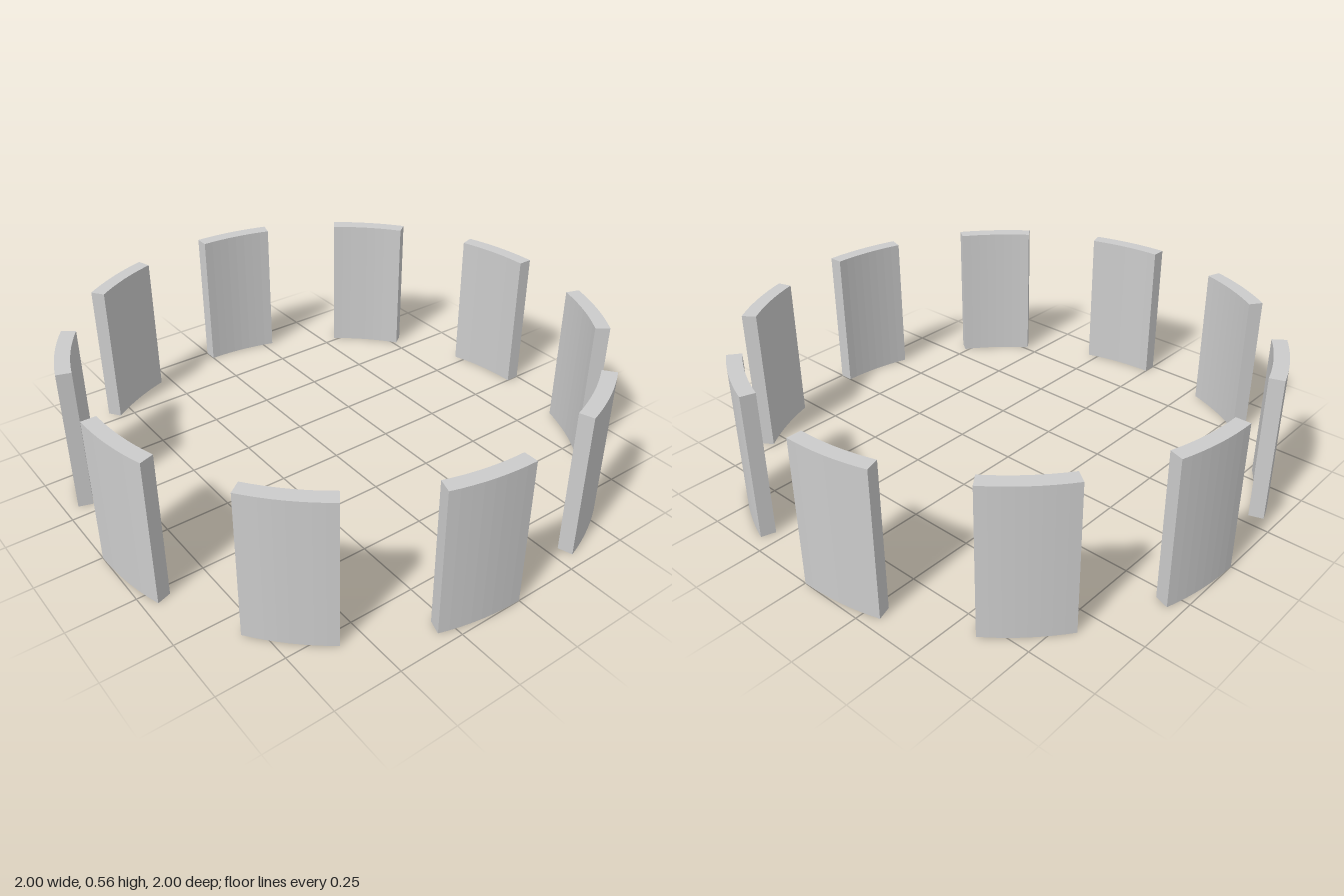
import * as THREE from 'three';

const COUNT = 10;          // panels around the ring
const ARC = Math.PI / COUNT; // each panel fills half of its share
const STEPS = 8;           // facets along one panel
const OUTER = 1, INNER = 0.945, HEIGHT = 0.565;

// Curved hollow panel, open underneath: a U-shaped section swept along an arc
function panelGeometry() {
  const section = [[OUTER, 0], [OUTER, HEIGHT], [INNER, HEIGHT], [INNER, 0]];
  const positions = [], index = [];
  for (let s = 0; s <= STEPS; s++) {
    const a = (s / STEPS) * ARC;
    for (const [r, y] of section) positions.push(r * Math.cos(a), y, -r * Math.sin(a));
  }
  // outer wall, top and inner wall
  for (let s = 0; s < STEPS; s++) {
    for (let i = 0; i < 3; i++) {
      const k = s * 4 + i;
      index.push(k, k + 4, k + 5, k, k + 5, k + 1);
    }
  }
  // end walls
  const e = STEPS * 4;
  index.push(0, 1, 2, 0, 2, 3, e, e + 2, e + 1, e, e + 3, e + 2);

  const indexed = new THREE.BufferGeometry();
  indexed.setAttribute('position', new THREE.Float32BufferAttribute(positions, 3));
  indexed.setIndex(index);
  const geometry = indexed.toNonIndexed();
  geometry.computeVertexNormals();
  return geometry;
}

export function createModel() {
  const ring = new THREE.Group();
  ring.name = 'panelRing';
  const material = new THREE.MeshStandardMaterial({
    color: 0xcccccc, flatShading: true, side: THREE.DoubleSide,
  });
  const geometry = panelGeometry();
  for (let i = 0; i < COUNT; i++) {
    const panel = new THREE.Mesh(geometry, material);
    panel.name = `curvedPanel${i + 1}`;
    panel.rotation.y = (i / COUNT) * Math.PI * 2;
    ring.add(panel);
  }
  return ring;
}
